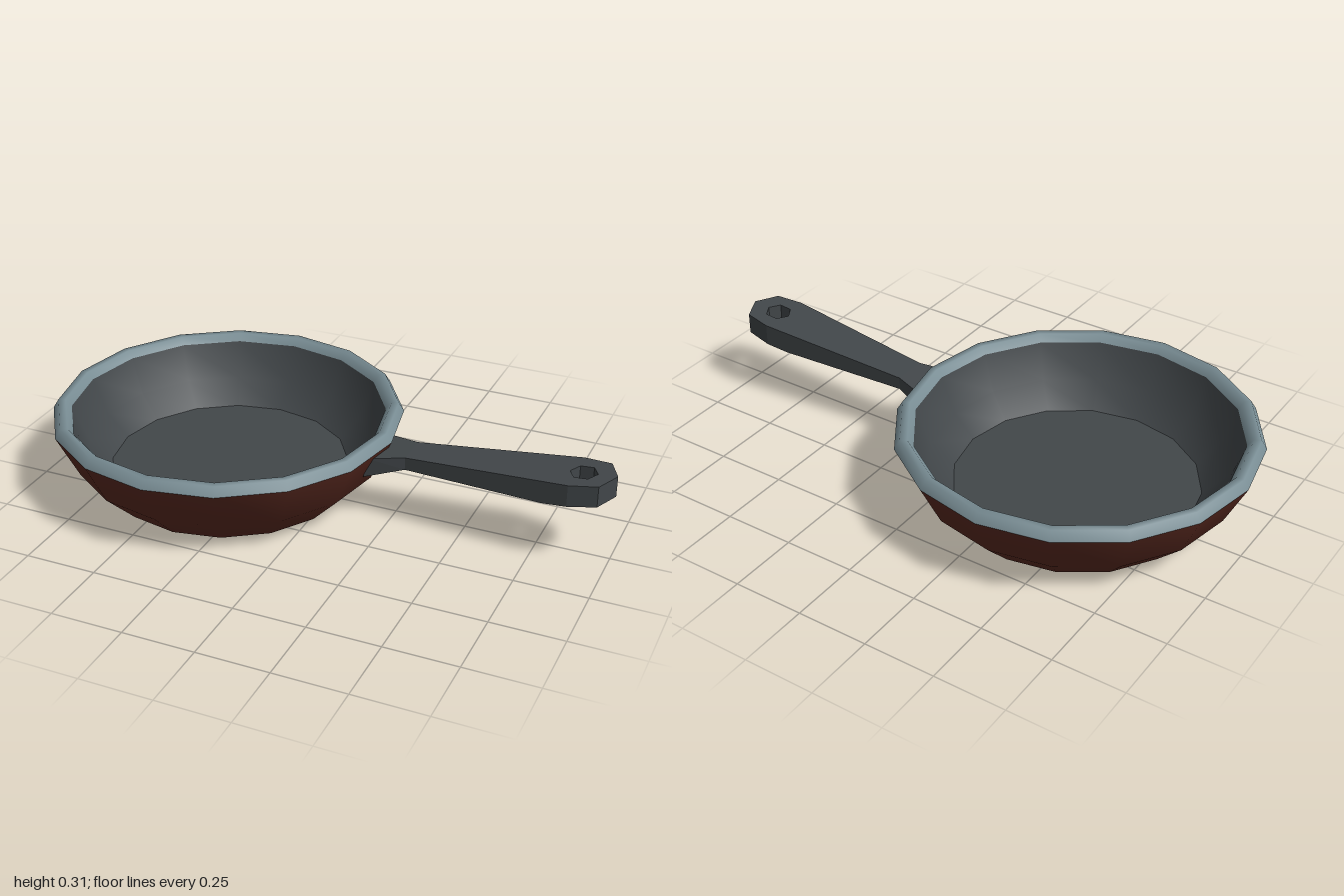
import * as THREE from 'three';

const SIDES = 16;
const BOWL_X = -0.386;

export function createModel() {
  const mat = (name, color) => {
    const m = new THREE.MeshStandardMaterial({ color });
    m.name = name;
    return m;
  };
  const iron = mat('dark iron', 0x42474a);
  const enamel = mat('brown enamel', 0x5e2c22);
  const steel = mat('grey rim', 0x788c93);

  const model = new THREE.Group();
  model.name = 'fryingPan';
  const add = (name, geometry, material, parent) => {
    const mesh = new THREE.Mesh(geometry, material);
    mesh.name = name;
    parent.add(mesh);
    return mesh;
  };

  // Bowl: outer wall, rim, inner wall, floor and base
  const bowl = new THREE.Group();
  bowl.name = 'bowl';
  bowl.position.x = BOWL_X;
  model.add(bowl);
  const lathe = (pts) =>
    new THREE.LatheGeometry(pts.map(([r, y]) => new THREE.Vector2(r, y)), SIDES);
  add('outerWall', lathe([[0.43, 0], [0.54, 0.11], [0.614, 0.262]]), enamel, bowl);
  add('rim', lathe([[0.614, 0.262], [0.595, 0.293], [0.57, 0.293], [0.55, 0.268]]), steel, bowl);
  add('innerWall', lathe([[0.55, 0.268], [0.5, 0.14], [0.42, 0.06]]), iron, bowl);
  const floor = add('floor', new THREE.CircleGeometry(0.42, SIDES), iron, bowl);
  floor.rotation.x = -Math.PI / 2;
  floor.position.y = 0.06;
  const base = add('base', new THREE.CircleGeometry(0.43, SIDES), iron, bowl);
  base.rotation.x = Math.PI / 2;

  // Handle: heights of its sloping top and bottom
  const handle = new THREE.Group();
  handle.name = 'handle';
  model.add(handle);
  const topY = (x) => 0.25 + (x - 0.3) * 0.083;
  const bottomY = (x) => (x < 0.78 ? 0.205 + (x - 0.3) * 0.0104 : 0.21 + (x - 0.78) * 0.114);

  // Shaft: five-sided sections, keeled where it meets the bowl
  const ring = (w, xTop, yTop, xSide, ySide, xKeel, yKeel) => [
    [xTop, yTop, -w], [xTop, yTop, w], [xSide, ySide, w], [xKeel, yKeel, 0], [xSide, ySide, -w],
  ];
  const plain = (x, w) => ring(w, x, topY(x), x, bottomY(x), x, bottomY(x));
  const rings = [
    ring(0.095, 0.18, 0.238, 0.165, 0.165, 0.15, 0.114),
    plain(0.3, 0.06),
    plain(0.78, 0.094),
  ];
  const pos = [];
  for (let s = 0; s < rings.length - 1; s++) {
    const a = rings[s], b = rings[s + 1];
    for (let i = 0; i < 5; i++) {
      const j = (i + 1) % 5;
      pos.push(...a[i], ...a[j], ...b[j], ...a[i], ...b[j], ...b[i]);
    }
  }
  const shaft = new THREE.BufferGeometry();
  shaft.setAttribute('position', new THREE.Float32BufferAttribute(pos, 3));
  shaft.computeVertexNormals();
  add('handleShaft', shaft, iron, handle);

  // Grip end: outline with a hexagonal hanging hole, sloped to follow the shaft
  const outline = [
    [0.78, -0.094], [0.865, -0.1], [0.96, -0.083], [1, 0],
    [0.96, 0.083], [0.865, 0.1], [0.78, 0.094],
  ];
  const shape = new THREE.Shape(outline.map(([x, y]) => new THREE.Vector2(x, y)));
  const hole = [];
  for (let i = 0; i < 6; i++) {
    const t = (-i * Math.PI) / 3;
    hole.push(new THREE.Vector2(0.89 + 0.046 * Math.cos(t), 0.046 * Math.sin(t)));
  }
  shape.holes.push(new THREE.Path(hole));
  const end = new THREE.ExtrudeGeometry(shape, { depth: 1, bevelEnabled: false });
  end.rotateX(-Math.PI / 2);
  const p = end.attributes.position;
  for (let i = 0; i < p.count; i++) {
    const x = p.getX(i);
    p.setY(i, p.getY(i) > 0.5 ? topY(x) : bottomY(x));
  }
  end.computeVertexNormals();
  add('handleEnd', end, iron, handle);

  return model;
}
